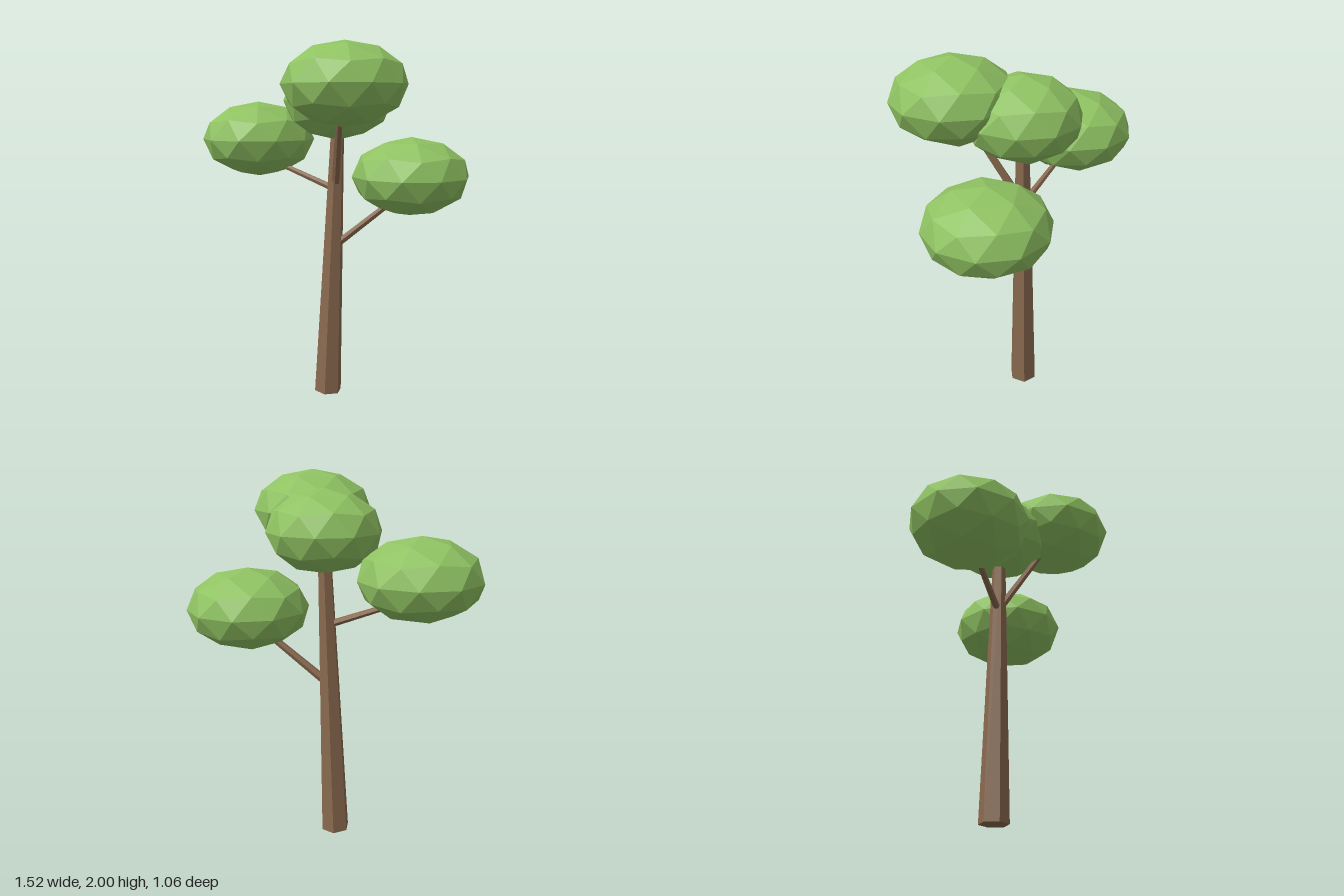
import * as THREE from 'three';

const bark = new THREE.MeshStandardMaterial({ color: 0x8a6a4f, flatShading: true });
bark.name = 'bark brown';
const leaf = new THREE.MeshStandardMaterial({ color: 0x8fc262, flatShading: true });
leaf.name = 'leaf green';

// Tapered six-sided limb between two points
function limb(name, from, to, r0, r1) {
  const a = new THREE.Vector3(...from);
  const dir = new THREE.Vector3(...to).sub(a);
  const length = dir.length();
  const geometry = new THREE.CylinderGeometry(r1, r0, length, 6);
  geometry.translate(0, length / 2, 0);
  const mesh = new THREE.Mesh(geometry, bark);
  mesh.name = name;
  mesh.position.copy(a);
  mesh.quaternion.setFromUnitVectors(new THREE.Vector3(0, 1, 0), dir.normalize());
  return mesh;
}

// Faceted, flattened ball of leaves standing on an icosahedron corner
function crown(name, [x, y, z], radius, halfHeight) {
  const geometry = new THREE.IcosahedronGeometry(1, 1);
  geometry.rotateZ(-Math.atan(2 / (1 + Math.sqrt(5))));
  geometry.scale(radius, halfHeight, radius);
  const mesh = new THREE.Mesh(geometry, leaf);
  mesh.name = name;
  mesh.position.set(x, y, z);
  return mesh;
}

export function createModel() {
  const tree = new THREE.Group();
  tree.name = 'tree';

  // Leaning trunk and its three branches
  tree.add(
    limb('trunk', [-0.015, 0.004, -0.12], [0.04, 1.58, -0.12], 0.08, 0.037),
    limb('rightBranch', [0.02, 1.215, -0.12], [-0.4, 1.375, -0.19], 0.02, 0.014),
    limb('leftBranch', [0.03, 0.89, -0.12], [0.42, 1.21, -0.12], 0.024, 0.017),
    limb('frontBranch', [0.028, 1.22, -0.12], [0.12, 1.7, 0.17], 0.024, 0.017)
  );

  // Leaf crowns
  tree.add(
    crown('rightCrown', [-0.455, 1.485, -0.205], 0.325, 0.215),
    crown('leftCrown', [0.45, 1.295, -0.125], 0.325, 0.215),
    crown('frontCrown', [0.15, 1.785, 0.205], 0.325, 0.215),
    crown('topCrown', [0.04, 1.705, -0.122], 0.302, 0.215)
  );
  return tree;
}
